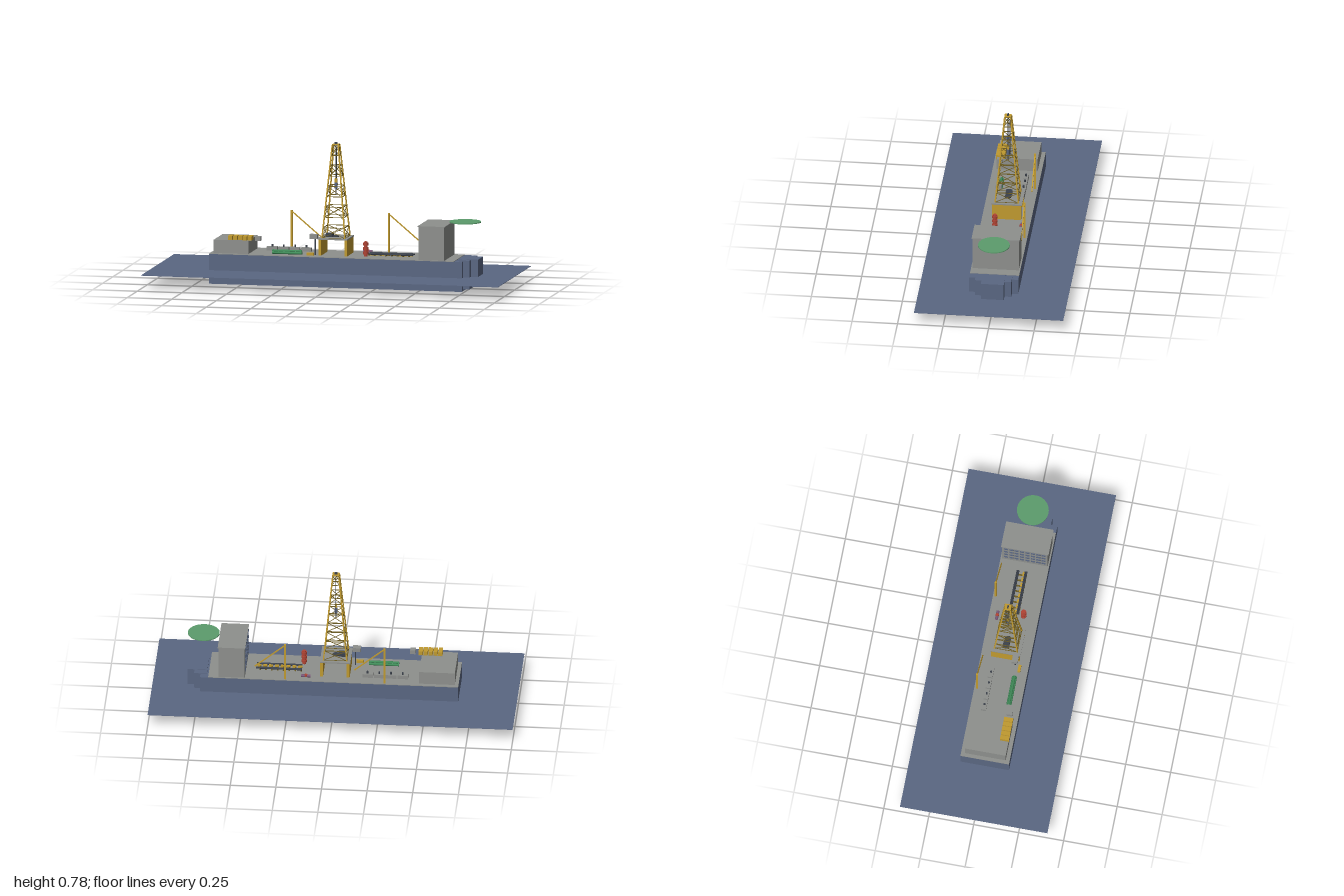
import * as THREE from 'three';

const mat = (name, color, side = THREE.FrontSide) => {
  const m = new THREE.MeshStandardMaterial({ color, side });
  m.name = name;
  return m;
};

export function createModel() {
  const blue = mat('navy blue', 0x5a6782);
  const grey = mat('deck grey', 0x8e908d);
  const yellow = mat('crane yellow', 0xc09a30);
  const olive = mat('dark olive', 0x6e5d22);
  const red = mat('signal red', 0xb04434);
  const green = mat('helideck green', 0x5c9c6c);
  const pipeGreen = mat('pipe green', 0x3f8a58);
  const dark = mat('dark steel', 0x3c424c);
  const plum = mat('plum', 0x7a5878);

  const root = new THREE.Group();
  root.name = 'drillship';
  const group = (name) => {
    const g = new THREE.Group();
    g.name = name;
    root.add(g);
    return g;
  };
  const add = (parent, name, geo, m, x, y, z) => {
    const mesh = new THREE.Mesh(geo, m);
    mesh.name = name;
    mesh.position.set(x, y, z);
    parent.add(mesh);
    return mesh;
  };
  // box given by its extents
  const box = (p, name, m, x0, x1, y0, y1, z0, z1) =>
    add(p, name, new THREE.BoxGeometry(x1 - x0, y1 - y0, z1 - z0), m,
      (x0 + x1) / 2, (y0 + y1) / 2, (z0 + z1) / 2);
  const cyl = (p, name, m, r, h, x, y, z, n = 16) =>
    add(p, name, new THREE.CylinderGeometry(r, r, h, n), m, x, y, z);
  const pipeX = (p, name, m, r, x0, x1, y, z) => {
    cyl(p, name, m, r, x1 - x0, (x0 + x1) / 2, y, z, 12).rotation.z = Math.PI / 2;
  };
  // square beam between two points
  const beam = (p, name, m, a, b, w) => {
    const A = new THREE.Vector3(...a), d = new THREE.Vector3(...b).sub(A);
    const mesh = add(p, name, new THREE.BoxGeometry(w, d.length(), w), m, 0, 0, 0);
    mesh.position.copy(A).addScaledVector(d, 0.5);
    mesh.quaternion.setFromUnitVectors(new THREE.Vector3(0, 1, 0), d.normalize());
  };

  // sea and hull
  box(root, 'sea', blue, -1, 1, 0.073, 0.075, -0.41, 0.41);
  const hull = group('hull');
  box(hull, 'hullBody', blue, -0.68, 0.735, 0, 0.164, -0.135, 0.135);
  box(hull, 'bowStep', blue, 0.7, 0.77, 0.01, 0.168, -0.1, 0.1);
  box(hull, 'bowTip', blue, 0.7, 0.81, 0.02, 0.17, -0.063, 0.063);
  box(hull, 'deck', grey, -0.68, 0.69, 0.164, 0.167, -0.135, 0.135);
  for (const s of [-1, 1]) box(hull, 'sideStripe', red, -0.68, 0.69, 0.04, 0.06, s * 0.136 - 0.002, s * 0.136 + 0.002);

  // accommodation block with windows on its aft face
  const house = group('accommodation');
  box(house, 'block', grey, 0.49, 0.635, 0.165, 0.35, -0.127, 0.127);
  box(house, 'roof', grey, 0.487, 0.638, 0.35, 0.355, -0.132, 0.132);
  for (let r = 0; r < 4; r++)
    for (let i = 0; i < 8; i++) {
      const z = -0.105 + i * 0.03, y = 0.2 + r * 0.04;
      box(house, 'window', blue, 0.487, 0.4905, y, y + 0.014, z - 0.011, z + 0.011);
    }
  cyl(root, 'helideck', green, 0.087, 0.005, 0.724, 0.368, 0, 40);

  // aft machinery house with generators
  const aft = group('aftHouse');
  box(aft, 'machineryHouse', grey, -0.66, -0.465, 0.165, 0.24, -0.113, 0.113);
  for (let i = 0; i < 5; i++) {
    const x = -0.578 + i * 0.027;
    box(aft, 'generator', yellow, x, x + 0.023, 0.242, 0.265, 0.065, 0.115);
  }
  box(aft, 'generatorBase', grey, -0.578, -0.447, 0.239, 0.243, 0.065, 0.115);
  box(aft, 'controlBox', grey, -0.43, -0.4, 0.24, 0.264, 0.075, 0.105);

  // drill floor on two yellow walls
  const floor = group('drillFloor');
  for (const s of [-1, 1]) box(floor, 'supportWall', yellow, s * 0.073 - 0.008, s * 0.073 + 0.008, 0.165, 0.255, -0.08, 0.08);
  box(floor, 'floorPlate', grey, -0.085, 0.082, 0.255, 0.262, -0.085, 0.085);
  box(floor, 'winch', dark, -0.055, -0.015, 0.262, 0.28, -0.02, 0.015);
  cyl(floor, 'rotaryTable', dark, 0.018, 0.006, 0, 0.265, 0);
  box(floor, 'driverCabin', grey, -0.132, -0.088, 0.257, 0.281, 0.045, 0.078);
  cyl(floor, 'cabinPost', dark, 0.004, 0.095, -0.102, 0.21, 0.06, 8);

  // lattice derrick
  const tower = group('derrick');
  const N = 9, Y0 = 0.262, Y1 = 0.77;
  const corner = (k, i) => {
    const t = i / N, h = 0.064 + (0.017 - 0.064) * t;
    const [sx, sz] = [[1, 1], [-1, 1], [-1, -1], [1, -1]][k % 4];
    return [sx * h, Y0 + (Y1 - Y0) * t, sz * h];
  };
  for (let k = 0; k < 4; k++) {
    beam(tower, 'towerLeg', yellow, corner(k, 0), corner(k, N), 0.007);
    for (let i = 0; i <= N; i++) {
      beam(tower, 'towerGirt', olive, corner(k, i), corner(k + 1, i), 0.0035);
      if (i % 2 === 0 && i < N) {
        beam(tower, 'towerBrace', olive, corner(k, i), corner(k + 1, i + 1), 0.0028);
        beam(tower, 'towerBrace', olive, corner(k + 1, i), corner(k, i + 1), 0.0028);
      }
    }
  }
  box(tower, 'crownPlate', yellow, -0.018, 0.018, 0.768, 0.774, -0.018, 0.018);
  box(tower, 'crownBlock', dark, -0.008, 0.008, 0.774, 0.784, -0.004, 0.004);
  box(tower, 'travellingBlock', yellow, -0.006, 0.006, 0.562, 0.584, -0.006, 0.006);
  cyl(tower, 'topDrive', blue, 0.007, 0.034, 0, 0.545, 0);
  cyl(tower, 'hook', dark, 0.002, 0.035, 0, 0.512, 0, 8);
  cyl(tower, 'hoistLine', dark, 0.0015, 0.185, 0, 0.676, 0, 6);
  cyl(tower, 'guideRail', dark, 0.002, 0.23, 0, 0.64, -0.011, 6);
  beam(tower, 'hoseArm', dark, [0, 0.552, -0.01], [0, 0.552, -0.05], 0.002);

  // deck cranes
  for (const x of [-0.275, 0.27]) {
    const crane = group('crane');
    box(crane, 'cranePost', yellow, x - 0.005, x + 0.005, 0.165, 0.383, -0.125, -0.114);
    beam(crane, 'craneBoom', yellow, [x, 0.378, -0.119], [x + 0.165, 0.24, -0.119], 0.006);
  }

  // pipe racks forward of the drill floor
  const rack = group('pipeRack');
  for (const z of [-0.027, 0.018])
    for (const d of [-0.004, 0.004]) pipeX(rack, 'drillPipe', dark, 0.004, 0.185, 0.435, 0.176, z + d);
  for (let i = 0; i < 8; i++) {
    const x = 0.185 + i * 0.032;
    box(rack, 'rackBeam', yellow, x, x + 0.022, 0.167, 0.178, 0.001, 0.011);
    box(rack, 'rackFoot', olive, x, x + 0.008, 0.166, 0.172, -0.035, 0.027);
  }

  // red valve stack and the spare unit lying on deck
  const stack = group('valveStack');
  cyl(stack, 'stackCore', red, 0.01, 0.082, 0.178, 0.208, 0.053);
  for (const y of [0.185, 0.21, 0.235]) cyl(stack, 'stackRing', red, 0.015, 0.014, 0.178, y, 0.053);
  pipeX(stack, 'spareUnit', plum, 0.008, 0.133, 0.183, 0.174, -0.09);
  cyl(stack, 'spareFlange', red, 0.009, 0.012, 0.158, 0.176, -0.09);

  // riser joints and mud tanks aft of the drill floor
  const riser = group('riserRack');
  for (const [y, z] of [[0.175, 0.063], [0.175, 0.077], [0.185, 0.07]]) pipeX(riser, 'riserJoint', pipeGreen, 0.007, -0.34, -0.175, y, z);
  for (let i = 0; i < 6; i++) pipeX(riser, 'riserFlange', green, 0.009, -0.34 + i * 0.032, -0.335 + i * 0.032, 0.179, 0.07);
  const tanks = group('mudTanks');
  for (let i = 0; i < 4; i++) {
    const x = -0.4 + i * 0.064;
    box(tanks, 'mudTank', grey, x, x + 0.058, 0.166, 0.188, -0.073, -0.047);
    cyl(tanks, 'tankMotor', dark, 0.005, 0.014, x + 0.03, 0.194, -0.06, 10);
  }
  box(root, 'deckPump', yellow, -0.145, -0.105, 0.166, 0.182, 0.08, 0.095);

  return root;
}
